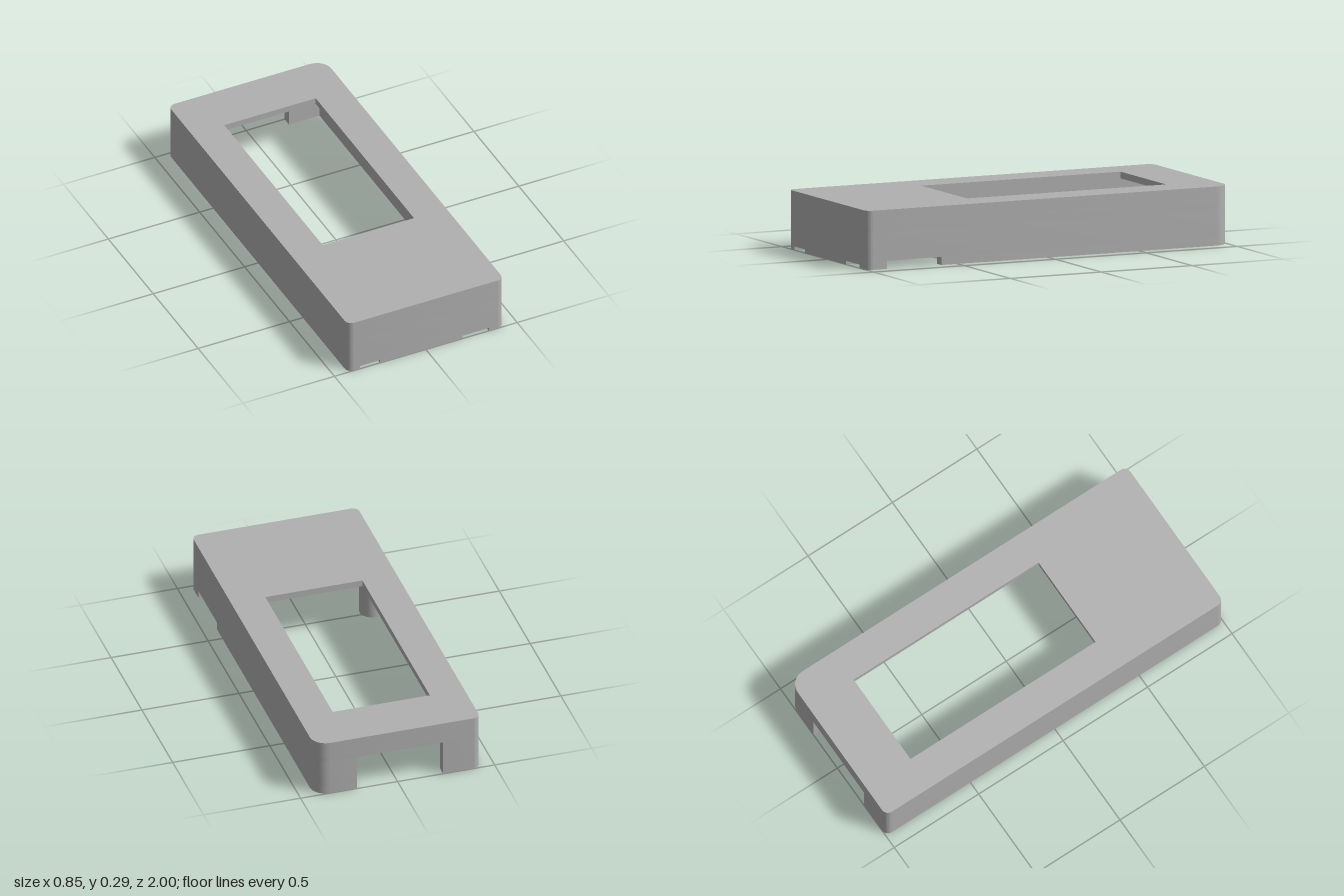
import * as THREE from 'three';
import { toCreasedNormals } from 'three/addons/utils/BufferGeometryUtils.js';

const HX = 0.427, HZ = 1, WALL = 0.05;
const TOP = 0.293, CEILING = 0.235, STEP = 0.247, LIP = 0.26, DOOR = 0.183;

const grey = new THREE.MeshStandardMaterial({ color: 0xb0b0b0 });
grey.name = 'grey plastic';

// Outer corners, with their rounding
const backRight = { x: -HX, z: -HZ, r: 0.035 };
const frontRight = { x: -HX, z: HZ, r: 0.035 };
const frontLeft = { x: HX, z: HZ, r: 0.035 };
const backLeft = { x: HX, z: -HZ, r: 0.08 };

// Corner point to points along its rounding, travelling from prev to next
function roundCorner(c, prev, next) {
  if (!c.r) return [new THREE.Vector2(c.x, -c.z)];
  const at = new THREE.Vector2(c.x, -c.z);
  const a = new THREE.Vector2(prev.x, -prev.z).sub(at).setLength(c.r);
  const b = new THREE.Vector2(next.x, -next.z).sub(at).setLength(c.r);
  const centre = at.clone().add(a).add(b);
  const pts = [];
  for (let i = 0; i <= 10; i++) {
    const t = (i / 10) * Math.PI / 2;
    pts.push(centre.clone().addScaledVector(b, -Math.cos(t)).addScaledVector(a, -Math.sin(t)));
  }
  return pts;
}

// Stands a plan shape upright between two heights
function slab(name, shape, y0, y1) {
  const geo = new THREE.ExtrudeGeometry(shape, { depth: y1 - y0, bevelEnabled: false });
  geo.rotateX(-Math.PI / 2).translate(0, y0, 0);
  const mesh = new THREE.Mesh(toCreasedNormals(geo, 0.6), grey);
  mesh.name = name;
  return mesh;
}

// Point on the inner wall face beside an outer point
function inset(p) {
  const onX = Math.abs(p.x) === HX, onZ = Math.abs(p.z) === HZ;
  return new THREE.Vector2(
    p.x - (onX ? Math.sign(p.x) * WALL : 0),
    -(p.z - (onZ ? Math.sign(p.z) * WALL : 0)));
}

// A run of wall following the outline through the given stations
function wallRun(stations, y0, y1) {
  const outer = stations.flatMap((s, i) => roundCorner(s, stations[i - 1], stations[i + 1]));
  const inner = stations.map(inset).reverse();
  return slab('wall', new THREE.Shape([...outer, ...inner]), y0, y1);
}

function rectHole(x0, x1, z0, z1) {
  return new THREE.Path([
    new THREE.Vector2(x0, -z0), new THREE.Vector2(x1, -z0),
    new THREE.Vector2(x1, -z1), new THREE.Vector2(x0, -z1)]);
}

// Full rounded outline with one rectangular hole
function plate(name, hole, y0, y1) {
  const loop = [backRight, frontRight, frontLeft, backLeft];
  const pts = loop.flatMap((c, i) => roundCorner(c, loop[(i + 3) % 4], loop[(i + 1) % 4]));
  const shape = new THREE.Shape(pts);
  shape.holes.push(rectHole(...hole));
  return slab(name, shape, y0, y1);
}

// Hollow screw post hanging from the ceiling
function screwPost(x, z) {
  const profile = [[0, 0.15], [0.04, 0.15], [0.04, 0.014], [0.048, 0.014],
    [0.048, 0], [0.0625, 0], [0.0625, CEILING + 0.003]].map(([r, y]) => new THREE.Vector2(r, y));
  const geo = toCreasedNormals(new THREE.LatheGeometry(profile, 32), 0.6);
  const mesh = new THREE.Mesh(geo, grey);
  mesh.name = 'screwPost';
  mesh.position.set(x, 0, z);
  return mesh;
}

export function createModel() {
  const model = new THREE.Group();
  model.name = 'enclosureCover';

  // Walls: back doorway plus shallow notches in the front and left rims
  const doorA = { x: -0.235, z: -HZ }, doorB = { x: 0.21, z: -HZ };
  const sideA = { x: HX, z: 0.89 }, sideB = { x: HX, z: 0.59 };
  const front = x => ({ x, z: HZ });
  const walls = new THREE.Group();
  walls.name = 'walls';
  walls.add(
    wallRun([doorA, backRight, frontRight, front(-0.36)], 0, 0.018),
    wallRun([front(-0.25), front(0.2)], 0, 0.018),
    wallRun([front(0.345), frontLeft, sideA], 0, 0.018),
    wallRun([sideB, backLeft, doorB], 0, 0.04),
    wallRun([doorA, backRight, frontRight, frontLeft, sideA], 0.018, 0.04),
    wallRun([doorA, backRight, frontRight, frontLeft, backLeft, doorB], 0.04, DOOR),
    plate('upperWall', [-HX + WALL, HX - WALL, -HZ + WALL, HZ - WALL], DOOR, CEILING));
  model.add(walls);

  // Top: stepped recess below the window lip
  model.add(
    plate('recessOuterStep', [-0.31, 0.31, -0.92, 0.59], CEILING, STEP),
    plate('recessInnerStep', [-0.285, 0.285, -0.9, 0.565], STEP, LIP),
    plate('topPanel', [-0.25, 0.25, -0.735, 0.36], LIP, TOP));

  // Screw posts
  for (const [x, z] of [[-0.35, 0.52], [0.35, 0.5], [0.03, 0.905]]) model.add(screwPost(x, z));

  return model;
}
